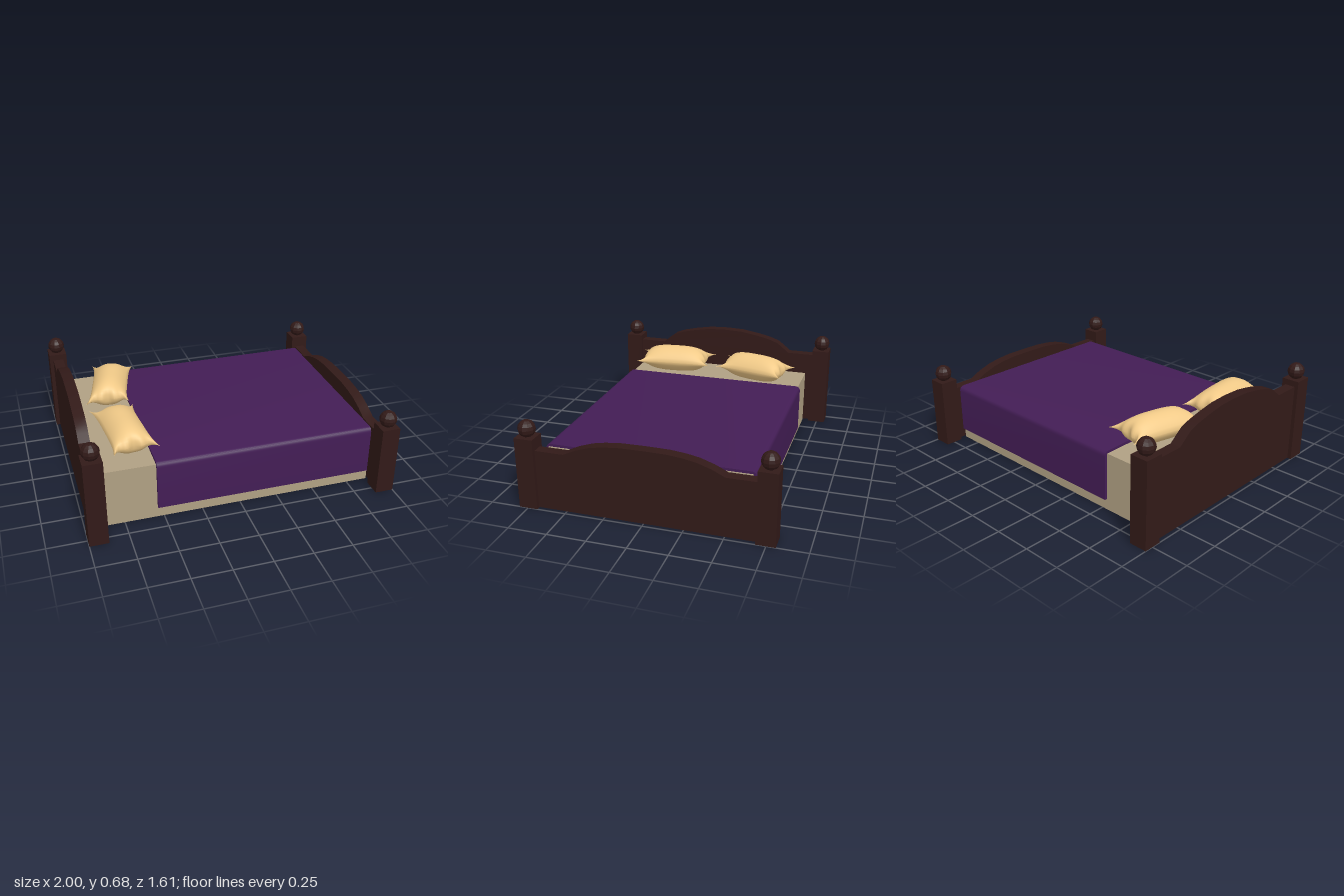
import * as THREE from 'three';
import { toCreasedNormals } from 'three/addons/utils/BufferGeometryUtils.js';
import { ParametricGeometry } from 'three/addons/geometries/ParametricGeometry.js';

const wood = new THREE.MeshStandardMaterial({ color: 0x321a18 });
const woodFaceted = new THREE.MeshStandardMaterial({ color: 0x321a18, flatShading: true });
const linen = new THREE.MeshStandardMaterial({ color: 0xb0a083 });
const blanketCloth = new THREE.MeshStandardMaterial({ color: 0x431d55 });
const pillowCloth = new THREE.MeshStandardMaterial({ color: 0xf0c987 });

function add(parent, name, geometry, material, x = 0, y = 0, z = 0) {
  const mesh = new THREE.Mesh(geometry, material);
  mesh.name = name;
  mesh.position.set(x, y, z);
  parent.add(mesh);
  return mesh;
}

// Extrudes a (z, y) outline along x, between x0 and x1
function extrudeAlongX(shape, x0, x1) {
  const g = new THREE.ExtrudeGeometry(shape, { depth: x1 - x0, bevelEnabled: false, curveSegments: 6 });
  g.rotateY(-Math.PI / 2);
  g.translate(x1, 0, 0);
  return toCreasedNormals(g, 0.5);
}

// Arched board between two square posts topped with balls
function bedEnd(name, x, postHeight, arch) {
  const group = new THREE.Group();
  group.name = name;
  const shoulder = arch[0][1];
  const outline = [[-0.7, 0.003], [0.7, 0.003], [0.7, shoulder], ...arch,
    ...arch.slice(0, -1).reverse().map(([z, y]) => [-z, y]), [-0.7, shoulder]];
  const shape = new THREE.Shape(outline.map(([z, y]) => new THREE.Vector2(z, y)));
  add(group, 'archedBoard', extrudeAlongX(shape, x - 0.035, x + 0.035), wood);
  for (const side of [-1, 1]) {
    add(group, 'post', new THREE.BoxGeometry(0.12, postHeight, 0.12), wood, x, postHeight / 2, side * 0.747);
    add(group, 'postBall', new THREE.SphereGeometry(0.056, 10, 8), woodFaceted, x, postHeight + 0.049, side * 0.747);
  }
  return group;
}

// Draped sheet with rounded shoulders, open underneath
function blanketGeometry() {
  const w = 0.657, top = 0.402, low = 0.075, r = 0.035, t = 0.017;
  const s = new THREE.Shape();
  s.moveTo(-w, low);
  s.lineTo(-w + t, low);
  s.lineTo(-w + t, top - t);
  s.lineTo(w - t, top - t);
  s.lineTo(w - t, low);
  s.lineTo(w, low);
  s.lineTo(w, top - r);
  s.quadraticCurveTo(w, top, w - r, top);
  s.lineTo(-w + r, top);
  s.quadraticCurveTo(-w, top, -w, top - r);
  return extrudeAlongX(s, -0.54, 0.885);
}

// Stuffed cushion spanning four pulled-out corners, given as [x, z]:
// near-left, near-right, far-left, far-right
function pillow(name, corners) {
  const [a, b, c, d] = corners.map(([x, z]) => new THREE.Vector3(x, 0.485, z));
  const group = new THREE.Group();
  group.name = name;
  const left = new THREE.Vector3(), right = new THREE.Vector3();
  for (const up of [1, -1]) {
    const surface = (s, q, target) => {
      const u = up * (1 - 2 * s), v = 2 * q - 1;
      // Seams bow inwards between the corners; the short ends are puckered
      const pu = u * (1 - 0.15 * (1 - v ** 4));
      const pucker = 0.17 * (1 - u ** 4) + 0.035 * Math.cos(u * Math.PI * 3) + 0.035;
      const pv = v * (1 - pucker * Math.abs(v) ** 3);
      left.lerpVectors(a, c, (pv + 1) / 2);
      right.lerpVectors(b, d, (pv + 1) / 2);
      target.lerpVectors(left, right, (pu + 1) / 2);
      const bulge = Math.max(0, 1 - u * u) ** 0.75 * Math.max(0, 1 - Math.abs(v) ** 3) ** 0.8;
      target.y += up * 0.096 * bulge;
    };
    add(group, up > 0 ? 'pillowTop' : 'pillowUnderside', new ParametricGeometry(surface, 20, 28), pillowCloth);
  }
  return group;
}

export function createModel() {
  const bed = new THREE.Group();
  bed.name = 'bed';

  bed.add(bedEnd('headboard', -0.94, 0.57, [[0.5, 0.53], [0.45, 0.57], [0.41, 0.6], [0.34, 0.625],
    [0.25, 0.645], [0.13, 0.665], [0, 0.67]]));
  bed.add(bedEnd('footboard', 0.94, 0.465, [[0.5, 0.387], [0.42, 0.425], [0.33, 0.455], [0.25, 0.47],
    [0.15, 0.48], [0, 0.482]]));

  // Bedding
  add(bed, 'mattress', new THREE.BoxGeometry(1.785, 0.385, 1.276), linen, 0, 0.1925, -0.002);
  add(bed, 'blanket', blanketGeometry(), blanketCloth, 0, 0, -0.003);
  bed.add(pillow('leftPillow', [[-0.84, 0.05], [-0.55, 0.03], [-0.79, 0.63], [-0.5, 0.595]]));
  bed.add(pillow('rightPillow', [[-0.71, -0.6], [-0.435, -0.53], [-0.845, -0.04], [-0.565, -0.02]]));

  return bed;
}
